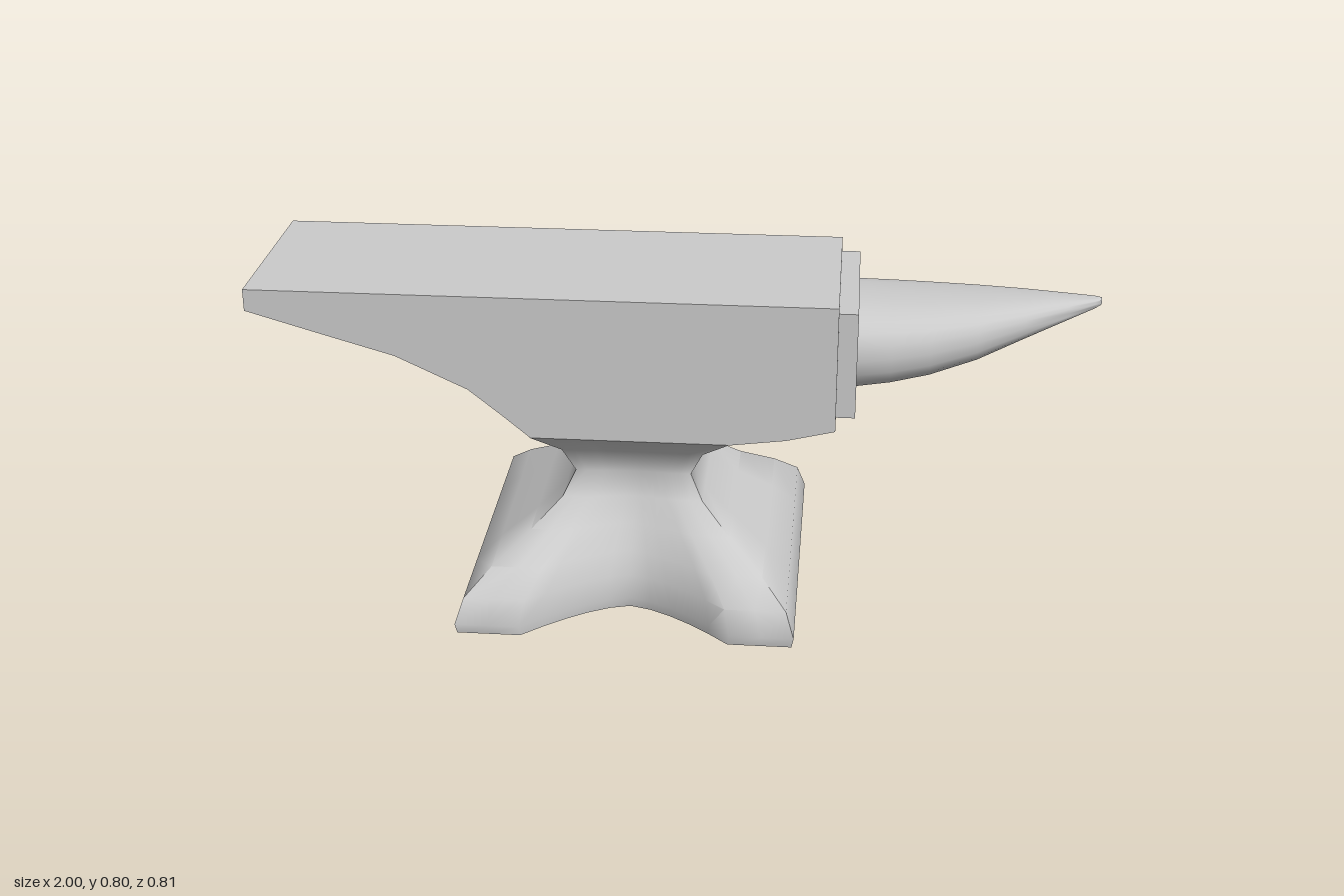
import * as THREE from 'three';
import { toCreasedNormals } from 'three/addons/utils/BufferGeometryUtils.js';

const material = new THREE.MeshStandardMaterial({ color: 0xcccccc });

// Skin a list of closed rings of Vector3 and close both ends with fans.
function loft(rings, crease) {
  const pos = [];
  const tri = (...pts) => pts.forEach((p) => pos.push(p.x, p.y, p.z));
  const n = rings[0].length;
  const centre = (r) => r.reduce((s, p) => s.add(p), new THREE.Vector3()).divideScalar(n);
  const first = rings[0], last = rings[rings.length - 1];
  const c0 = centre(first), c1 = centre(last);
  for (let i = 0; i < n; i++) {
    const j = (i + 1) % n;
    tri(c0, first[i], first[j]);
    tri(c1, last[j], last[i]);
    for (let k = 0; k < rings.length - 1; k++) {
      const a = rings[k], b = rings[k + 1];
      tri(a[i], b[i], a[j]);
      tri(a[j], b[i], b[j]);
    }
  }
  const g = new THREE.BufferGeometry();
  g.setAttribute('position', new THREE.Float32BufferAttribute(pos, 3));
  return toCreasedNormals(g, crease);
}

// Outline of the base at one height: straight ends, curved notches front and back.
function baseRing([y, halfX, halfZ, notchZ]) {
  const foot = halfX * 0.62;
  const quarter = [[halfX, 0], [halfX, halfZ * 0.5], [halfX, halfZ], [(halfX + foot) / 2, halfZ]];
  for (const t of [1, 0.8, 0.6, 0.4, 0.2]) {
    quarter.push([foot * t, notchZ + (halfZ - notchZ) * t ** 1.5]);
  }
  const back = quarter.slice(1).reverse();
  const half = [...quarter, [0, notchZ], ...back.map(([x, z]) => [-x, z])];
  const ring = [...half, ...half.map(([x, z]) => [-x, -z])];
  return ring.map(([x, z]) => new THREE.Vector3(x - 0.1, y, z));
}

// Outline of the horn at one station: a squarish oval.
function hornRing([x, bottom, top, halfZ]) {
  const power = (v) => Math.sign(v) * Math.abs(v) ** 0.8;
  return Array.from({ length: 24 }, (_, i) => {
    const a = (i / 24) * Math.PI * 2;
    return new THREE.Vector3(
      x,
      (top + bottom) / 2 + ((top - bottom) / 2) * power(Math.sin(a)),
      halfZ * power(Math.cos(a)),
    );
  });
}

export function createModel() {
  const group = new THREE.Group();
  const add = (name, geometry) => {
    const mesh = new THREE.Mesh(geometry, material);
    mesh.name = name;
    group.add(mesh);
    return mesh;
  };

  // Body: side profile with the tapering heel, extruded across the width
  const profile = [
    [-1, 0.8], [-1, 0.747], [-0.83, 0.697], [-0.65, 0.645], [-0.48, 0.565], [-0.4, 0.5],
    [-0.335, 0.445], [0.14, 0.445], [0.27, 0.462], [0.385, 0.49], [0.385, 0.8],
  ].map(([x, y]) => new THREE.Vector2(x, y));
  const body = new THREE.ExtrudeGeometry(new THREE.Shape(profile), { depth: 0.47, bevelEnabled: false });
  body.translate(0, 0, -0.235);
  add('body', toCreasedNormals(body, 0.5));

  // Waist and flared base: [height, half length, half width, notch half width]
  const levels = [
    [0.012, 0.36, 0.36, 0.2],
    [0, 0.4, 0.4, 0.24],
    [0.025, 0.405, 0.405, 0.245],
    [0.085, 0.385, 0.383, 0.238],
    [0.14, 0.325, 0.32, 0.215],
    [0.2, 0.24, 0.235, 0.185],
    [0.26, 0.17, 0.17, 0.155],
    [0.32, 0.14, 0.145, 0.14],
    [0.385, 0.17, 0.17, 0.168],
    [0.445, 0.237, 0.235, 0.235],
  ];
  add('base', loft(levels.map(baseRing), 0.95));

  // Step between body and horn
  add('step', new THREE.BoxGeometry(0.055, 0.262, 0.41)).position.set(0.4025, 0.644, 0);

  // Horn: [x, bottom, top, half width]
  const stations = [
    [0.42, 0.54, 0.755, 0.187],
    [0.51, 0.553, 0.755, 0.178],
    [0.6, 0.573, 0.755, 0.162],
    [0.71, 0.61, 0.756, 0.132],
    [0.82, 0.66, 0.757, 0.09],
    [0.92, 0.702, 0.757, 0.046],
    [0.985, 0.729, 0.757, 0.016],
    [1, 0.738, 0.755, 0.008],
  ];
  add('horn', loft(stations.map(hornRing), 0.9));

  return group;
}
